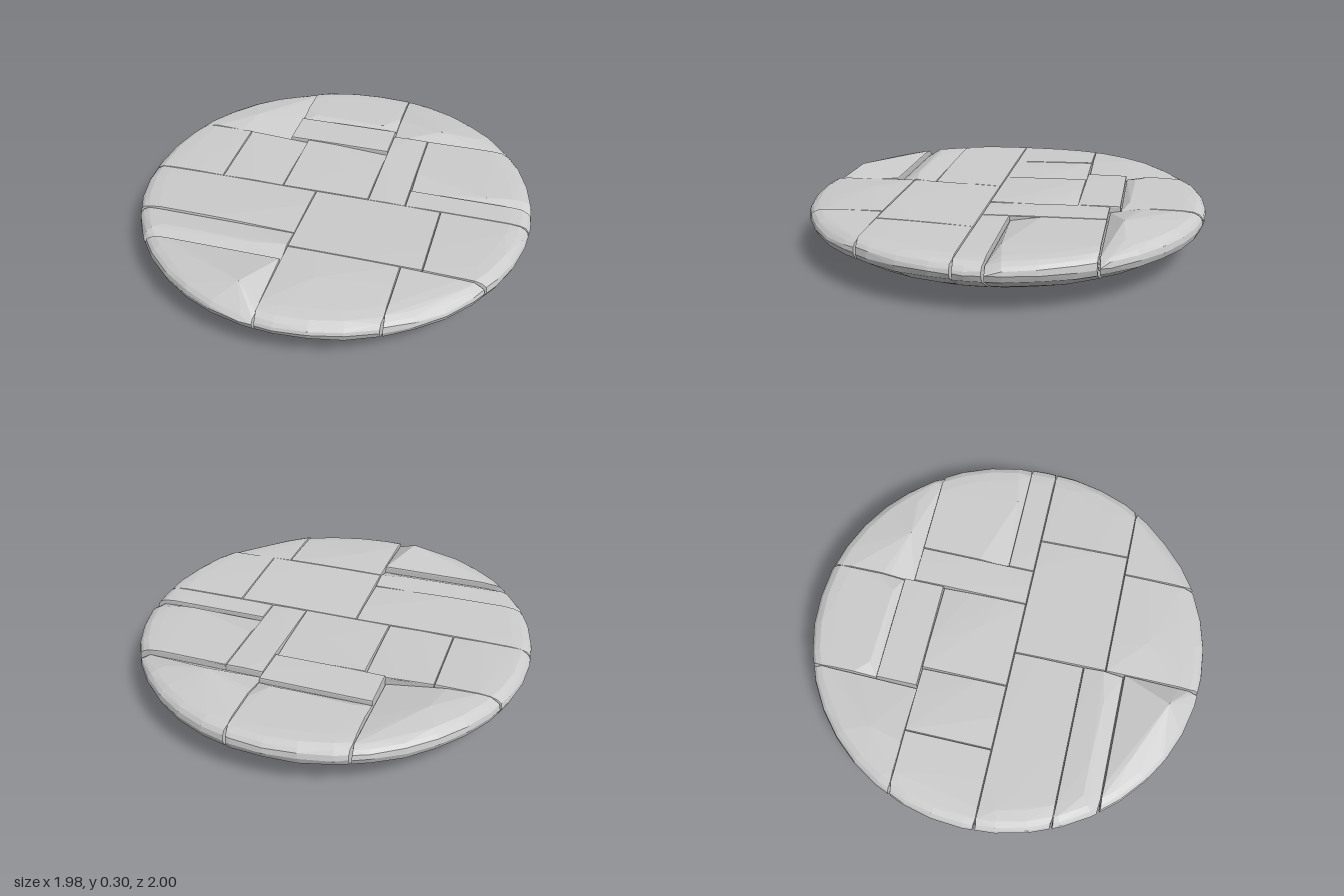
import * as THREE from 'three';
import { ConvexGeometry } from 'three/addons/geometries/ConvexGeometry.js';

// Joint pattern: each cut is [axis (0 = x, 1 = z), position, lower side, upper side]
const cut = (axis, at, low = null, high = null) => ({ axis, at, low, high });
const JOINTS = cut(1, 0.055,
  cut(0, 0.18,
    cut(1, -0.38, cut(0, -0.37, null, cut(1, -0.59)), cut(0, -0.6, null, cut(0, -0.27))),
    cut(1, -0.54, null, cut(0, 0.37, null, cut(1, -0.08)))),
  cut(0, -0.09,
    cut(1, 0.41, null, cut(1, 0.615)),
    cut(1, 0.52, cut(0, 0.55), cut(0, 0.45))));

// Worn corners and edges: x, z, reach in x, reach in z, depth
const CHIPS = [
  [-0.38, -0.4, 0.3, 0.55, 0.05], [0, -0.6, 5, 0.03, 0.03], [0.45, -0.55, 5, 0.04, 0.035],
  [-0.28, -0.37, 0.25, 0.25, 0.02], [0.17, -0.37, 0.3, 0.2, 0.02], [0.75, -0.085, 5, 0.03, 0.025],
  [-0.3, 0.61, 5, 0.04, 0.035], [-0.3, 0.415, 5, 0.04, 0.01], [-0.1, 0.95, 0.3, 0.3, 0.03],
  [-0.1, 0.4, 0.25, 0.25, 0.012], [0.1, 1, 5, 0.45, 0.012], [0.72, 0.72, 0.3, 0.3, 0.02],
];

// Raised points: x, y, z
const PEAKS = [
  [-0.2, 0.305, 0.85], [-0.5, 0.278, 0.72], [-0.3, 0.264, -0.64], [0.1, 0.266, -0.63],
  [0.43, 0.286, -0.62], [-0.62, 0.272, -0.55], [0, 0.258, -0.15], [0.75, 0.258, -0.115],
  [-0.25, 0.266, 0.54], [-0.55, 0.266, 0.53], [0.1, 0.27, 0.7],
];

// Underside and rim: radius, height, joint inset
const LEVELS = [
  [0.54, 0, 0.002], [0.64, 0.013, 0.001], [0.74, 0.037, 0.001], [0.87, 0.098, 0.002],
  [0.988, 0.17, 0.004], [1, 0.2, 0.006],
];
// Crown rings: radius, drop below the stone's top, joint inset
const CROWN = [[0.995, 0.035, 0.006], [0.98, 0.018, 0.006], [0.952, 0.005, 0.001], [0.9, 0, 0.003]];

let seed = 7;
const jitter = (amount) => {
  seed = (seed * 16807) % 2147483647;
  return (seed / 2147483647 - 0.5) * 2 * amount;
};

// Divide the plan square into rectangles [x0, x1, z0, z1]
function split(rect, joint) {
  if (!joint) return [rect];
  const low = [...rect];
  const high = [...rect];
  low[joint.axis * 2 + 1] = joint.at;
  high[joint.axis * 2] = joint.at;
  return [...split(low, joint.low), ...split(high, joint.high)];
}

// Keep the part of a polygon where sign * point[axis] <= limit
function clip(poly, axis, sign, limit) {
  const out = [];
  poly.forEach((a, i) => {
    const b = poly[(i + 1) % poly.length];
    const da = sign * a[axis] - limit;
    const db = sign * b[axis] - limit;
    if (da <= 0) out.push(a);
    if (da * db < 0) {
      const t = da / (da - db);
      out.push([a[0] + (b[0] - a[0]) * t, a[1] + (b[1] - a[1]) * t]);
    }
  });
  return out;
}

// Outline of a stone at one level: a circle cut by its rectangle, long edges divided
function outline([x0, x1, z0, z1], radius, inset) {
  let poly = [];
  for (let i = 0; i < 40; i++) {
    const a = (i / 40) * Math.PI * 2;
    poly.push([Math.cos(a) * radius * 0.99, Math.sin(a) * radius]);
  }
  poly = clip(poly, 0, -1, -(x0 + inset));
  poly = clip(poly, 0, 1, x1 - inset);
  poly = clip(poly, 1, -1, -(z0 + inset));
  poly = clip(poly, 1, 1, z1 - inset);
  const out = [];
  poly.forEach((a, i) => {
    const b = poly[(i + 1) % poly.length];
    const n = Math.max(1, Math.ceil(Math.hypot(b[0] - a[0], b[1] - a[1]) / 0.17));
    for (let k = 0; k < n; k++) {
      out.push([a[0] + ((b[0] - a[0]) * k) / n, a[1] + ((b[1] - a[1]) * k) / n]);
    }
  });
  return out;
}

function stoneGeometry(rect) {
  const [x0, x1, z0, z1] = rect;
  const inside = (x, z) => x > x0 && x < x1 && z > z0 && z < z1;
  const chips = CHIPS.filter(([x, z]) => inside(x, z));
  const points = PEAKS.filter(([x, , z]) => inside(x, z)).map((p) => new THREE.Vector3(...p));

  const lift = Math.abs(jitter(0.005));
  for (const [radius, y, inset] of LEVELS) {
    for (const [x, z] of outline(rect, radius, inset)) {
      points.push(new THREE.Vector3(x, y + (y < 0.08 ? lift : jitter(0.003)), z));
    }
  }
  for (const [radius, drop, inset] of CROWN) {
    for (const [x, z] of outline(rect, radius, inset)) {
      // The top is a shallow trough, rising to the front and back
      let y = 0.25 + 0.013 * Math.min(1, Math.abs(z) / 0.45) - drop + jitter(0.002);
      for (const [cx, cz, rx, rz, depth] of chips) {
        y -= depth * Math.max(0, 1 - Math.hypot((x - cx) / rx, (z - cz) / rz));
      }
      points.push(new THREE.Vector3(x, y, z));
    }
  }
  return new ConvexGeometry(points);
}

export function createModel() {
  const model = new THREE.Group();
  model.name = 'roundStoneSlab';
  const stone = new THREE.MeshStandardMaterial({ color: 0xcccccc, flatShading: true });

  // Fitted stones
  split([-1.1, 1.1, -1.1, 1.1], JOINTS).forEach((rect, i) => {
    const mesh = new THREE.Mesh(stoneGeometry(rect), stone);
    mesh.name = `stone${i + 1}`;
    model.add(mesh);
  });

  // Solid core behind the joints
  const profile = [[0, 0.02], [0.54, 0.02], [0.72, 0.055], [0.945, 0.175], [0.945, 0.2], [0, 0.2]];
  const core = new THREE.Mesh(
    new THREE.LatheGeometry(profile.map(([x, y]) => new THREE.Vector2(x, y)), 40), stone);
  core.name = 'core';
  model.add(core);
  return model;
}
